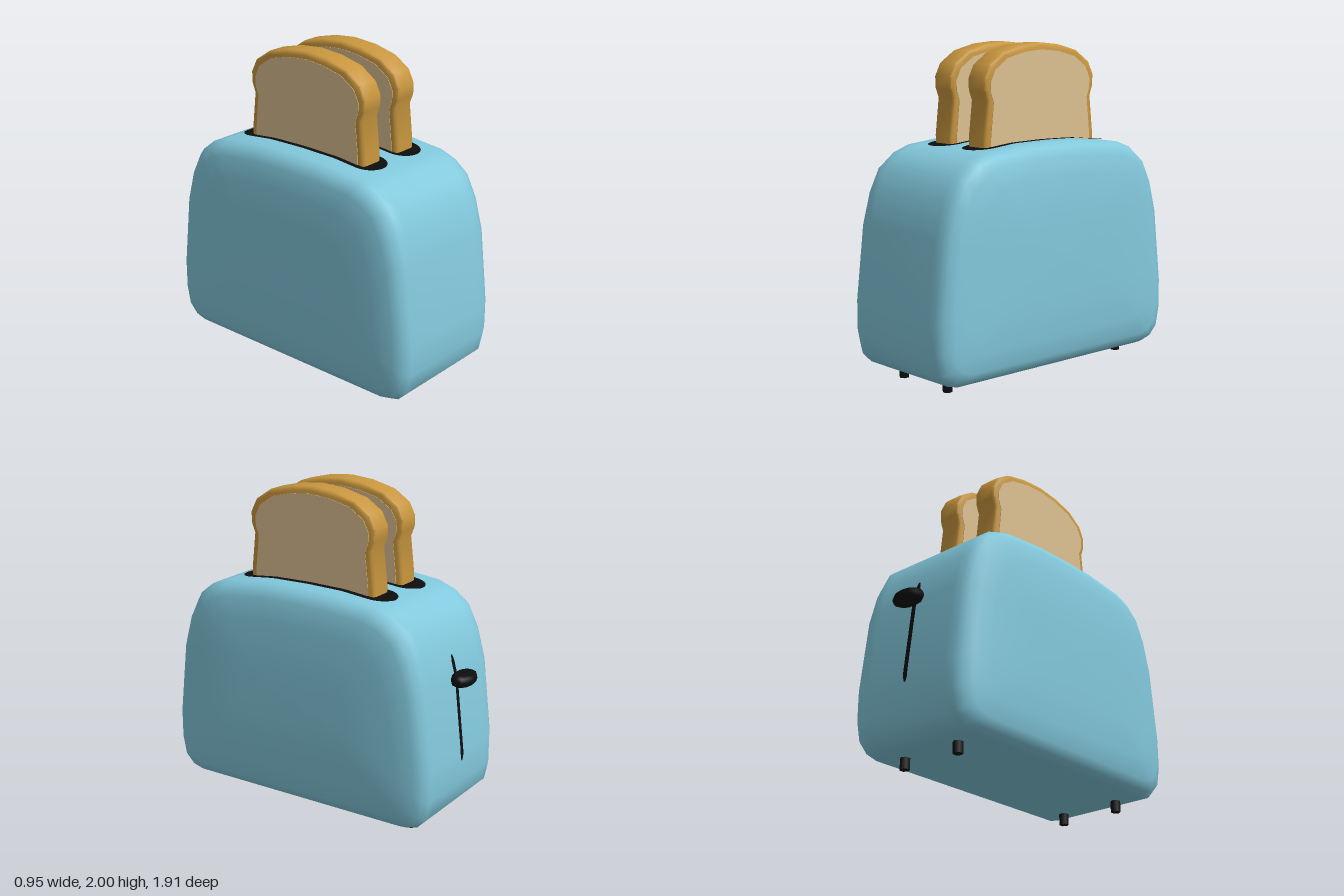
import * as THREE from 'three';
import { toCreasedNormals } from 'three/addons/utils/BufferGeometryUtils.js';

const MID_Y = 0.745, MID_Z = 0.035;
// Half side profile of the housing: [half depth, height], bottom to top
const HALF = [[0, 0.07], [0.5, 0.07], [0.76, 0.07], [0.835, 0.09], [0.895, 0.15], [0.92, 0.27], [0.92, 0.46],
  [0.865, 0.93], [0.81, 1.13], [0.74, 1.27], [0.645, 1.345], [0.535, 1.385], [0.25, 1.415], [0, 1.42]];

// Linear lookup along the upper part of the profile
function lookup(value, from, to) {
  for (let i = 6; i < HALF.length - 1; i++) {
    const a = HALF[i], b = HALF[i + 1];
    const t = (value - a[from]) / (b[from] - a[from]);
    if (t >= 0 && t <= 1) return a[to] + t * (b[to] - a[to]);
  }
  return HALF[6][to];
}
const topY = z => lookup(Math.abs(z - MID_Z), 0, 1);
const backZ = y => MID_Z - lookup(y, 1, 0);

function indexed(positions, index) {
  const g = new THREE.BufferGeometry();
  g.setAttribute('position', new THREE.Float32BufferAttribute(positions, 3));
  g.setIndex(index);
  g.computeVertexNormals();
  return g;
}

// Housing: the side profile repeated across x, shrinking towards both sides
function housingGeometry() {
  const loop = [...HALF, ...HALF.slice(1, -1).reverse().map(([z, y]) => [-z, y])];
  const side = [[0.3, 0], [0.36, 0], [0.41, 0.025], [0.44, 0.08], [0.46, 0.2], [0.47, 0.38], [0.473, 0.52], [0.474, null]];
  const rings = [...side.map(([x, d]) => [-x, d]).reverse(), ...side];
  const pos = [], index = [], n = loop.length;
  rings.forEach(([x, d], i) => {
    const sz = d === null ? 0 : 1 - d / 0.92, sy = d === null ? 0 : 1 - d / 0.675;
    loop.forEach(([z, y], j) => {
      pos.push(x, MID_Y + (y - MID_Y) * sy, MID_Z + z * sz);
      if (i === rings.length - 1) return;
      const a = i * n + j, b = i * n + (j + 1) % n;
      index.push(a, a + n, b, b, a + n, b + n);
    });
  });
  return indexed(pos, index);
}

// Thin strip laid on the housing; rows are [centre x, half width, y, z]
function stripGeometry(rows) {
  const pos = [], index = [];
  rows.forEach(([x, w, y, z], i) => {
    pos.push(x - w, y, z, x + w, y, z);
    if (i) {
      const a = 2 * i - 2;
      index.push(a, a + 1, a + 2, a + 2, a + 1, a + 3);
    }
  });
  return indexed(pos, index);
}

function slotGeometry(x) {
  const rows = [], r = 0.115, length = 0.535;
  for (let i = 0; i <= 32; i++) {
    const dz = length * Math.cos(Math.PI * i / 32);
    const over = Math.max(0, Math.abs(dz) - (length - r));
    rows.push([x, Math.sqrt(Math.max(0, r * r - over * over)), topY(0.02 + dz) + 0.006, 0.02 + dz]);
  }
  return stripGeometry(rows);
}

function leverTrackGeometry() {
  const rows = [];
  for (let i = 0; i <= 20; i++) {
    const y = 1.06 - 0.65 * i / 20;
    rows.push([0, i % 20 ? 0.016 : 0.006, y, backZ(y) - 0.006]);
  }
  return stripGeometry(rows);
}

// Bread outline drawn in depth and height, pulled in by d
function breadShape(d) {
  const half = [[0.445, 1.2], [0.445, 1.45], [0.42, 1.67], [0.443, 1.73], [0.445, 1.8], [0.405, 1.88],
    [0.3, 1.95], [0.15, 1.987]].map(([z, y]) => [z * (1 - d / 0.445), y > 1.6 ? y - d * (y - 1.6) / 0.4 : y]);
  const pts = [...half, [0, 2 - d], ...half.slice().reverse().map(([z, y]) => [-z, y])];
  return new THREE.Shape(pts.map(([z, y]) => new THREE.Vector2(z, y)));
}

function breadGeometry(inset, thickness, bevel) {
  const g = new THREE.ExtrudeGeometry(breadShape(inset), {
    depth: thickness - 2 * bevel, bevelEnabled: bevel > 0, bevelThickness: bevel, bevelSize: bevel,
    bevelOffset: -bevel, bevelSegments: 2,
  });
  g.translate(0, 0, -(thickness - 2 * bevel) / 2);
  g.rotateY(-Math.PI / 2);
  return toCreasedNormals(g, 0.8);
}

export function createModel() {
  const material = (name, color) => {
    const m = new THREE.MeshStandardMaterial({ color });
    m.name = name;
    return m;
  };
  const blue = material('housing blue', 0x82c8dc);
  const black = material('black', 0x0d0d0d);
  const crust = material('crust brown', 0xc8963e);
  const crumb = material('crumb cream', 0xdcc091);

  const model = new THREE.Group();
  model.name = 'toaster';
  const add = (name, geometry, mat, x = 0, y = 0, z = 0, parent = model) => {
    const mesh = new THREE.Mesh(geometry, mat);
    mesh.name = name;
    mesh.position.set(x, y, z);
    parent.add(mesh);
    return mesh;
  };

  add('housing', housingGeometry(), blue);

  // Slots and bread slices
  const crustGeo = breadGeometry(0, 0.16, 0.022);
  const crumbGeo = breadGeometry(0.042, 0.166, 0);
  for (const [side, slotX, breadX] of [['right', -0.145, -0.145], ['left', 0.17, 0.162]]) {
    add(side + 'Slot', slotGeometry(slotX), black);
    const slice = new THREE.Group();
    slice.name = side + 'BreadSlice';
    slice.position.set(breadX, 0, 0.03);
    model.add(slice);
    add('crust', crustGeo, crust, 0, 0, 0, slice);
    add('crumb', crumbGeo, crumb, 0, 0, 0, slice);
  }

  // Lever on the back
  add('leverTrack', leverTrackGeometry(), black);
  const knobProfile = [[0, -0.036], [0.075, -0.036], [0.1, -0.024], [0.11, 0], [0.1, 0.024], [0.075, 0.036], [0, 0.036]];
  const knob = new THREE.LatheGeometry(knobProfile.map(p => new THREE.Vector2(...p)), 12);
  add('leverKnob', knob, black, 0, 0.93, -0.888).scale.z = 0.61;

  // Feet
  const foot = new THREE.CylinderGeometry(0.03, 0.03, 0.09, 6);
  for (const x of [-0.205, 0.205]) {
    for (const z of [0.74, -0.67]) add('foot', foot, black, x, 0.045, z);
  }
  return model;
}
